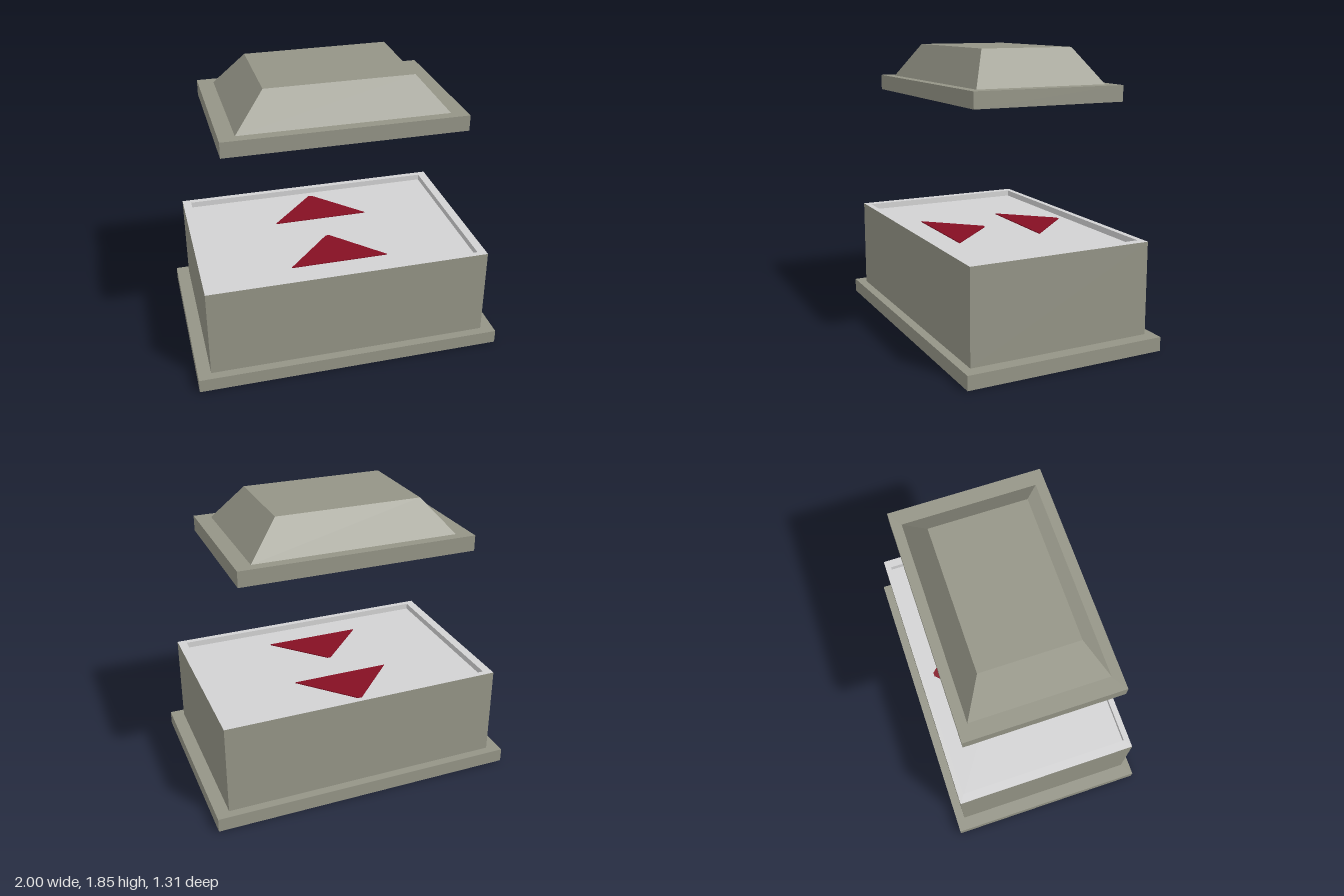
import * as THREE from 'three';

const stone = new THREE.MeshStandardMaterial({ color: 0x949486 });
stone.name = 'stone';
const lining = new THREE.MeshStandardMaterial({ color: 0xd2d2d3, side: THREE.DoubleSide });
lining.name = 'pale lining';
const crimson = new THREE.MeshStandardMaterial({ color: 0x850f23 });
crimson.name = 'crimson';

function add(parent, name, geometry, material) {
  const mesh = new THREE.Mesh(geometry, material);
  mesh.name = name;
  parent.add(mesh);
  return mesh;
}

// Box given by half width, half depth and its bottom and top heights
function slab(hx, hz, y0, y1) {
  return new THREE.BoxGeometry(2 * hx, y1 - y0, 2 * hz).translate(0, (y0 + y1) / 2, 0);
}

// The same box without its top face
function openSlab(hx, hz, y0, y1) {
  const g = slab(hx, hz, y0, y1);
  const index = Array.from(g.index.array);
  index.splice(12, 6);
  g.setIndex(index);
  g.clearGroups();
  return g;
}

// Box whose top is drawn in to a smaller rectangle
function frustum(hx, hz, topX, topZ, y0, y1) {
  const g = slab(hx, hz, y0, y1).toNonIndexed();
  const p = g.attributes.position;
  for (let i = 0; i < p.count; i++) {
    if (p.getY(i) > (y0 + y1) / 2) {
      p.setX(i, Math.sign(p.getX(i)) * topX);
      p.setZ(i, Math.sign(p.getZ(i)) * topZ);
    }
  }
  g.computeVertexNormals();
  return g;
}

function rectangle(path, hx, hz) {
  path.moveTo(-hx, -hz);
  path.lineTo(hx, -hz);
  path.lineTo(hx, hz);
  path.lineTo(-hx, hz);
  path.closePath();
  return path;
}

export function createModel() {
  const model = new THREE.Group();
  model.name = 'chest';

  // Chest with a shallow recess in its top
  const chest = new THREE.Group();
  chest.name = 'chestBase';
  model.add(chest);
  const top = 0.685, floor = 0.645;
  add(chest, 'plinth', slab(1, 0.657, 0, 0.09), stone);
  add(chest, 'body', openSlab(0.915, 0.6, 0.09, top), stone);
  add(chest, 'recess', openSlab(0.858, 0.562, floor, top), lining);
  const rim = rectangle(new THREE.Shape(), 0.915, 0.6);
  rim.holes.push(rectangle(new THREE.Path(), 0.858, 0.562));
  add(chest, 'rim', new THREE.ShapeGeometry(rim).rotateX(-Math.PI / 2).translate(0, top, 0), lining);

  // Two thin triangles on the recess floor: [centre x, apex z, base z]
  for (const [cx, apex, base] of [[0, -0.505, -0.18], [-0.015, 0.06, 0.383]]) {
    const s = new THREE.Shape();
    s.moveTo(cx - 0.318, -base);
    s.lineTo(cx + 0.318, -base);
    s.lineTo(cx + 0.012, -apex);
    s.lineTo(cx - 0.012, -apex);
    s.closePath();
    const g = new THREE.ExtrudeGeometry(s, { depth: 0.006, bevelEnabled: false });
    add(chest, 'triangleMark', g.rotateX(-Math.PI / 2).translate(0, floor, 0), crimson);
  }

  // Lid floating above
  const lid = new THREE.Group();
  lid.name = 'lid';
  model.add(lid);
  add(lid, 'lidPlate', slab(0.757, 0.497, 1.53, 1.63), stone);
  add(lid, 'lidCrown', frustum(0.657, 0.433, 0.465, 0.307, 1.63, 1.85), stone);

  return model;
}
